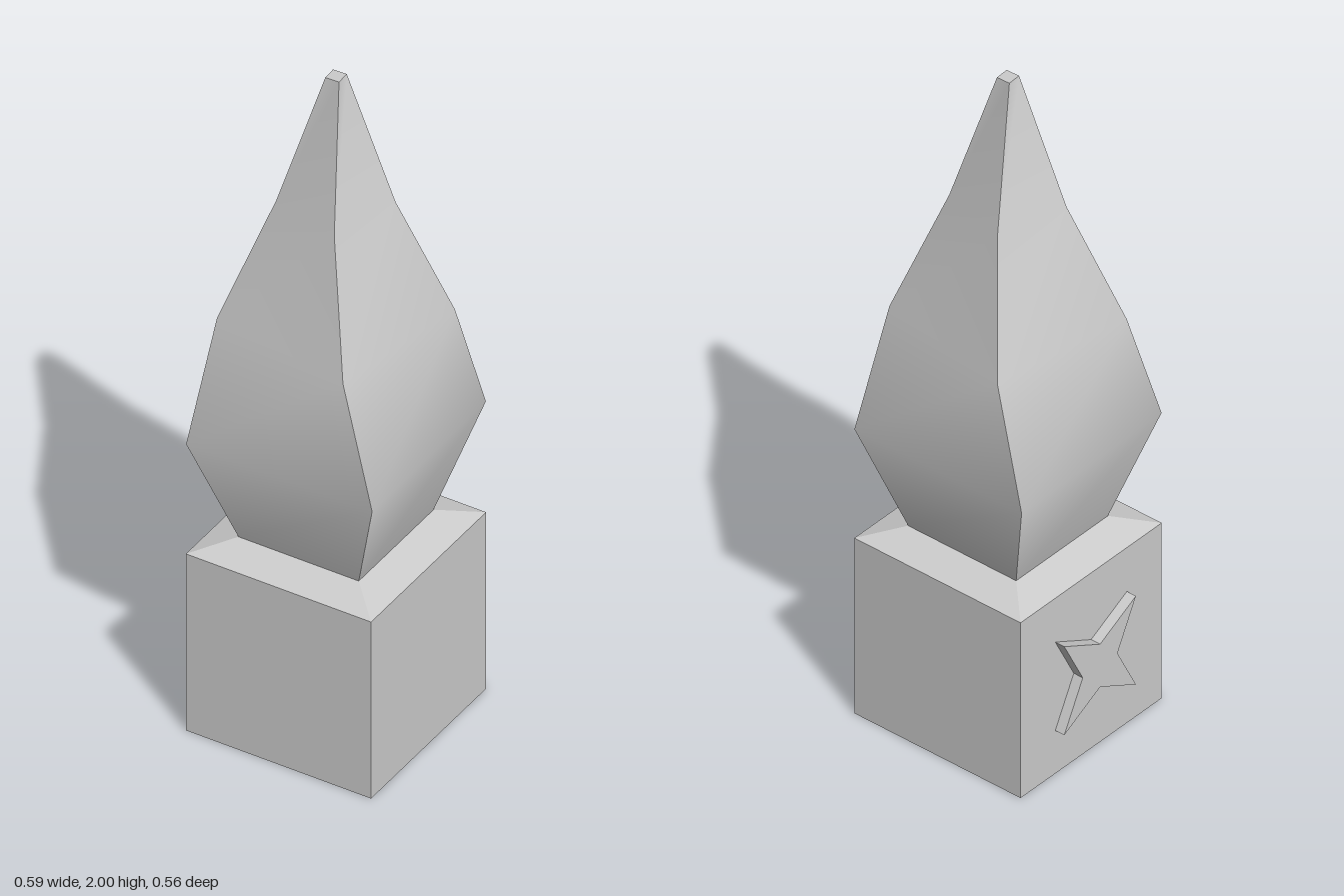
import * as THREE from 'three';

const CX = 0.0125; // axis of the pedestal and flame
const HALF = 0.277; // half width of the pedestal
const material = new THREE.MeshStandardMaterial({ color: 0xcccccc });

// Square loft: rings are [y, half width, twist in degrees]; the four corners stay sharp
function squareLoft(rings, capped) {
  const pos = [];
  const index = [];
  const corner = ([y, half, twist], k) => {
    const a = THREE.MathUtils.degToRad(45 + 90 * k + twist);
    const r = half * Math.SQRT2;
    return [r * Math.cos(a), y, r * Math.sin(a)];
  };
  for (let k = 0; k < 4; k++) {
    const base = pos.length / 3;
    for (const ring of rings) pos.push(...corner(ring, k), ...corner(ring, k + 1));
    for (let i = 0; i < rings.length - 1; i++) {
      const a = base + 2 * i; // a, b below; c, d above
      const [b, c, d] = [a + 1, a + 2, a + 3];
      index.push(a, c, b, c, d, b);
    }
  }
  if (capped) {
    const t = pos.length / 3;
    for (let k = 0; k < 4; k++) pos.push(...corner(rings[rings.length - 1], k));
    index.push(t, t + 2, t + 1, t, t + 3, t + 2);
  }
  const geo = new THREE.BufferGeometry();
  geo.setAttribute('position', new THREE.Float32BufferAttribute(pos, 3));
  geo.setIndex(index);
  geo.computeVertexNormals();
  return geo;
}

export function createModel() {
  const group = new THREE.Group();
  const add = (name, geo, x, y = 0, z = 0) => {
    const mesh = new THREE.Mesh(geo, material);
    mesh.name = name;
    mesh.position.set(x, y, z);
    group.add(mesh);
    return mesh;
  };

  // Cubic pedestal with a shallow sloping shoulder
  add('pedestal', new THREE.BoxGeometry(2 * HALF, 0.557, 2 * HALF), CX, 0.2785);
  add('shoulder', squareLoft([[0.557, HALF, 0], [0.588, 0.18, 0]], false), CX);

  // Twisting flame-shaped finial with a small flat tip
  add('flame', squareLoft([
    [0.588, 0.18, 0],
    [0.905, HALF, -0.4],
    [1.25, 0.214, 9.8],
    [1.605, 0.107, 14.8],
    [2, 0.02, -2.5],
  ], true), CX);

  // Four-pointed star raised from the right side
  const points = [];
  for (let i = 0; i < 8; i++) {
    const r = i % 2 ? 0.199 : 0.068;
    const a = (i * Math.PI) / 4;
    points.push(new THREE.Vector2(r * Math.cos(a), r * Math.sin(a)));
  }
  const starGeo = new THREE.ExtrudeGeometry(new THREE.Shape(points), { depth: 0.03, bevelEnabled: false });
  add('star', starGeo, CX - HALF, 0.277).rotation.y = -Math.PI / 2;

  return group;
}
